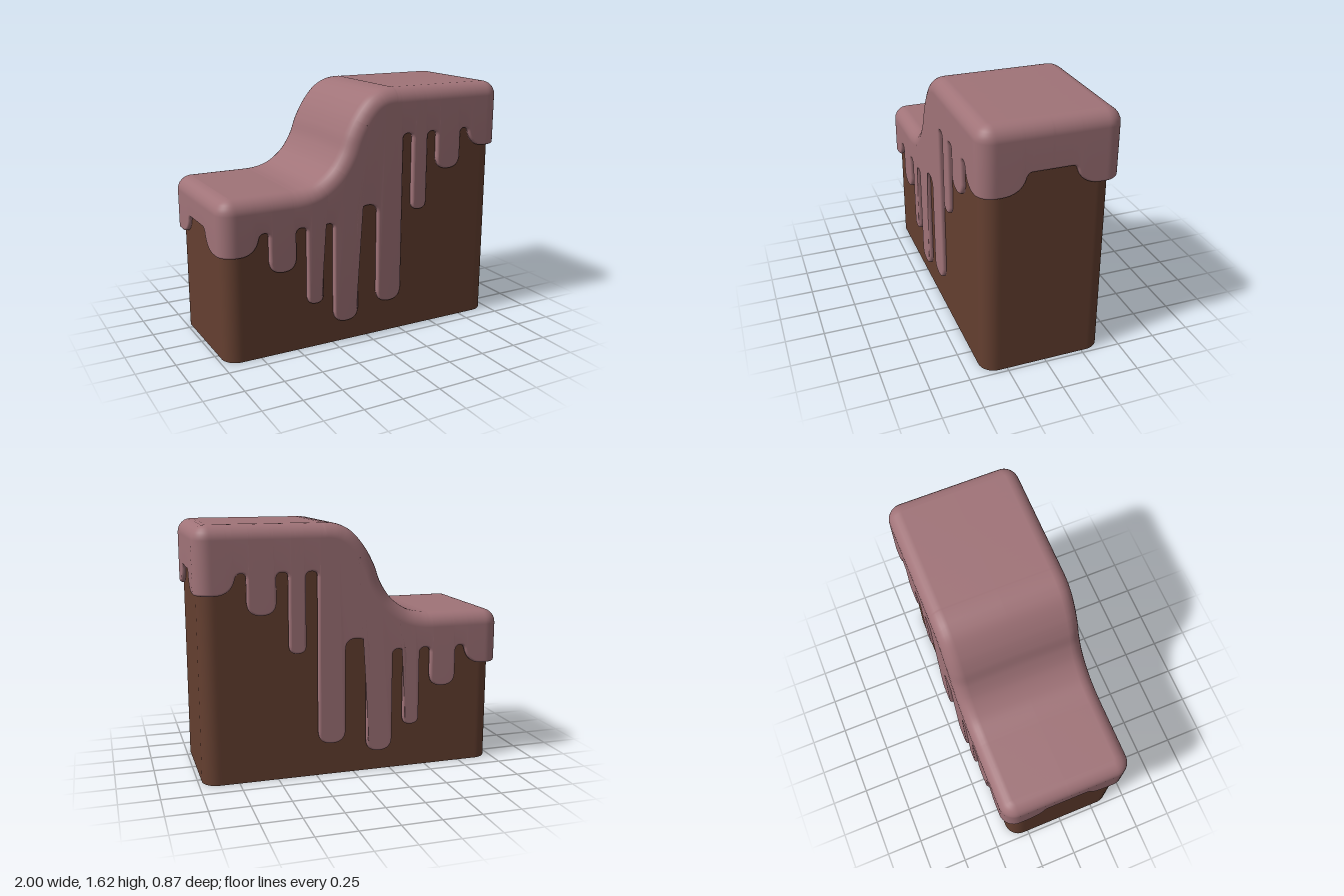
import * as THREE from 'three';
import { mergeVertices } from 'three/addons/utils/BufferGeometryUtils.js';

const R = 0.1; // plan corner radius
const ROUND = 0.09; // top edge radius
const V = (x, y) => new THREE.Vector2(x, y);

// Stepped top outline: low shelf, S-curve, high shelf
const step = new THREE.SplineCurve([
  V(-0.55, 1.03), V(-0.45, 1.035), V(-0.35, 1.065), V(-0.25, 1.14), V(-0.18, 1.245),
  V(-0.14, 1.35), V(-0.08, 1.46), V(0, 1.555), V(0.08, 1.603), V(0.16, 1.62), V(0.26, 1.62),
]).getPoints(120);

function topHeight(x) {
  if (x <= -0.5) return 1.03;
  if (x >= 0.2) return 1.62;
  const i = step.findIndex((p) => p.x > x);
  const a = step[i - 1], b = step[i];
  return a.y + ((b.y - a.y) * (x - a.x)) / (b.x - a.x);
}

function topNormal(x) {
  const e = 0.015;
  return V(topHeight(x - e) - topHeight(x + e), 2 * e).normalize();
}

// Unrolled half length of the front half of the perimeter
const halfLength = (hx, hz) => hx - R + (R * Math.PI) / 2 + hz - R;

// Plan position at unrolled distance u, inset by depth
function plan(u, depth, hx, hz) {
  const s = Math.sign(u) || 1, a = Math.abs(u) - (hx - R);
  if (a < 0) return [u, hz - depth];
  const phi = a / R;
  if (phi < Math.PI / 2) {
    return [s * (hx - R + (R - depth) * Math.sin(phi)), hz - R + (R - depth) * Math.cos(phi)];
  }
  return [s * (hx - depth), Math.max(0, hz - R - (a - (R * Math.PI) / 2))];
}

// Subdivide along u so the skin follows the curves
function refine(points) {
  const out = [points[0]];
  for (let i = 1; i < points.length; i++) {
    const a = points[i - 1], b = points[i];
    const n = Math.max(1, Math.ceil(Math.abs(b.x - a.x) / 0.012));
    for (let k = 1; k <= n; k++) out.push(a.clone().lerp(b, k / n));
  }
  return out.filter((p, i) => i === 0 || p.distanceTo(out[i - 1]) > 1e-5);
}

// Wall above a lower edge path, rounded over into the stepped top
function skin(edge, hx, hz, drop, rim) {
  const pts = refine(edge);
  const columns = pts.map((p, i) => {
    const a = pts[Math.max(0, i - 1)], b = pts[Math.min(pts.length - 1, i + 1)];
    const t = p.clone().sub(a).normalize().add(b.clone().sub(p).normalize()).normalize();
    const n = V(-t.y, t.x);
    const col = [];
    const put = (u, y, depth) => {
      const [x, z] = plan(u, depth, hx, hz);
      col.push([x, y, z]);
    };
    let u = p.x;
    if (rim) {
      // Inner wall, rim and its rounded edge
      const bevel = 0.015;
      put(p.x, topHeight(plan(p.x, 0, hx, hz)[0]) - 0.15, rim);
      put(p.x, p.y, rim);
      for (let k = 0; k <= 3; k++) {
        const w = (k / 3) * (Math.PI / 2);
        const off = bevel * (1 - Math.cos(w));
        put(p.x + n.x * off, p.y + n.y * off, bevel * (1 - Math.sin(w)));
      }
      u = p.x + n.x * bevel;
    } else {
      put(u, p.y, 0);
    }
    // Rounded top edge, then the top up to the centre line
    const x0 = plan(u, 0, hx, hz)[0];
    const m = topNormal(x0), h = topHeight(x0);
    for (let k = 0; k <= 6; k++) {
      const w = (k / 6) * (Math.PI / 2);
      const down = drop + ROUND * (1 - Math.sin(w));
      const [x, z] = plan(u, ROUND * (1 - Math.cos(w)), hx, hz);
      col.push([x - m.x * down, h - m.y * down, z]);
    }
    const last = col[col.length - 1];
    col.push([last[0], last[1], 0]);
    return col;
  });

  const rows = columns[0].length, pos = [], idx = [];
  for (const side of [1, -1]) {
    const base = pos.length / 3;
    columns.forEach((c) => c.forEach(([x, y, z]) => pos.push(x, y, z * side)));
    for (let i = 0; i < columns.length - 1; i++) {
      for (let j = 0; j < rows - 1; j++) {
        const a = base + i * rows + j, b = a + rows;
        if (side > 0) idx.push(a, b, b + 1, a, b + 1, a + 1);
        else idx.push(a, b + 1, b, a, a + 1, b + 1);
      }
    }
  }
  const g = new THREE.BufferGeometry();
  g.setAttribute('position', new THREE.Float32BufferAttribute(pos, 3));
  g.setIndex(idx);
  const merged = mergeVertices(g, 1e-5);
  merged.computeVertexNormals();
  return merged;
}

// Lower edge of the icing: end notch, corner lobe, row of drips, mirrored corner
function icingEdge(E) {
  const c = new THREE.Path();
  c.moveTo(-E, 0.81);
  c.lineTo(-E + 0.12, 0.81);
  c.quadraticCurveTo(-E + 0.145, 0.81, -E + 0.155, 0.775);
  c.bezierCurveTo(-E + 0.175, 0.71, -E + 0.23, 0.68, -E + 0.3, 0.68);
  c.lineTo(-0.88, 0.68);
  c.bezierCurveTo(-0.81, 0.68, -0.77, 0.72, -0.757, 0.775);
  c.quadraticCurveTo(-0.75, 0.81, -0.72, 0.81);
  c.quadraticCurveTo(-0.688, 0.81, -0.688, 0.775);
  const corner = c.getPoints(10);

  // Drips: left, right, tip height, height of the gap after it
  const drips = [
    [-0.688, -0.51, 0.545, 0.81], [-0.435, -0.325, 0.3, 0.81], [-0.25, -0.075, 0.14, 0.895],
    [0.065, 0.245, 0.22, 1.33], [0.32, 0.43, 0.82, 1.33], [0.505, 0.688, 1.07, null],
  ];
  const d = new THREE.Path();
  d.moveTo(-0.688, 0.775);
  const bend = (x0, x1, y, dir) => {
    const k = (x1 - x0) * 0.47 * dir, mid = (x0 + x1) / 2;
    d.lineTo(x0, y + k);
    d.quadraticCurveTo(x0, y, mid, y);
    d.quadraticCurveTo(x1, y, x1, y + k);
  };
  drips.forEach(([x0, x1, tip, gap], i) => {
    bend(x0, x1, tip, 1);
    if (gap !== null) bend(x1, drips[i + 1][0], gap, -1);
  });
  const mirrored = corner.map((p) => V(-p.x, p.y + 0.52)).reverse();
  return [...corner, ...d.getPoints(8), ...mirrored];
}

export function createModel() {
  const model = new THREE.Group();

  // Body with an open underside
  const bodyX = 0.975, bodyZ = 0.395, bodyE = halfLength(bodyX, bodyZ);
  const body = new THREE.Mesh(
    skin([V(-bodyE, 0), V(bodyE, 0)], bodyX, bodyZ, 0.04, 0),
    new THREE.MeshStandardMaterial({ color: 0x643f30, side: THREE.DoubleSide })
  );
  body.name = 'body';
  body.position.z = 0.01;
  model.add(body);

  // Dripping icing over the top
  const icing = new THREE.Mesh(
    skin(icingEdge(halfLength(1, 0.435)), 1, 0.435, 0, 0.029),
    new THREE.MeshStandardMaterial({ color: 0xa07378, side: THREE.DoubleSide })
  );
  icing.name = 'icing';
  model.add(icing);

  return model;
}
